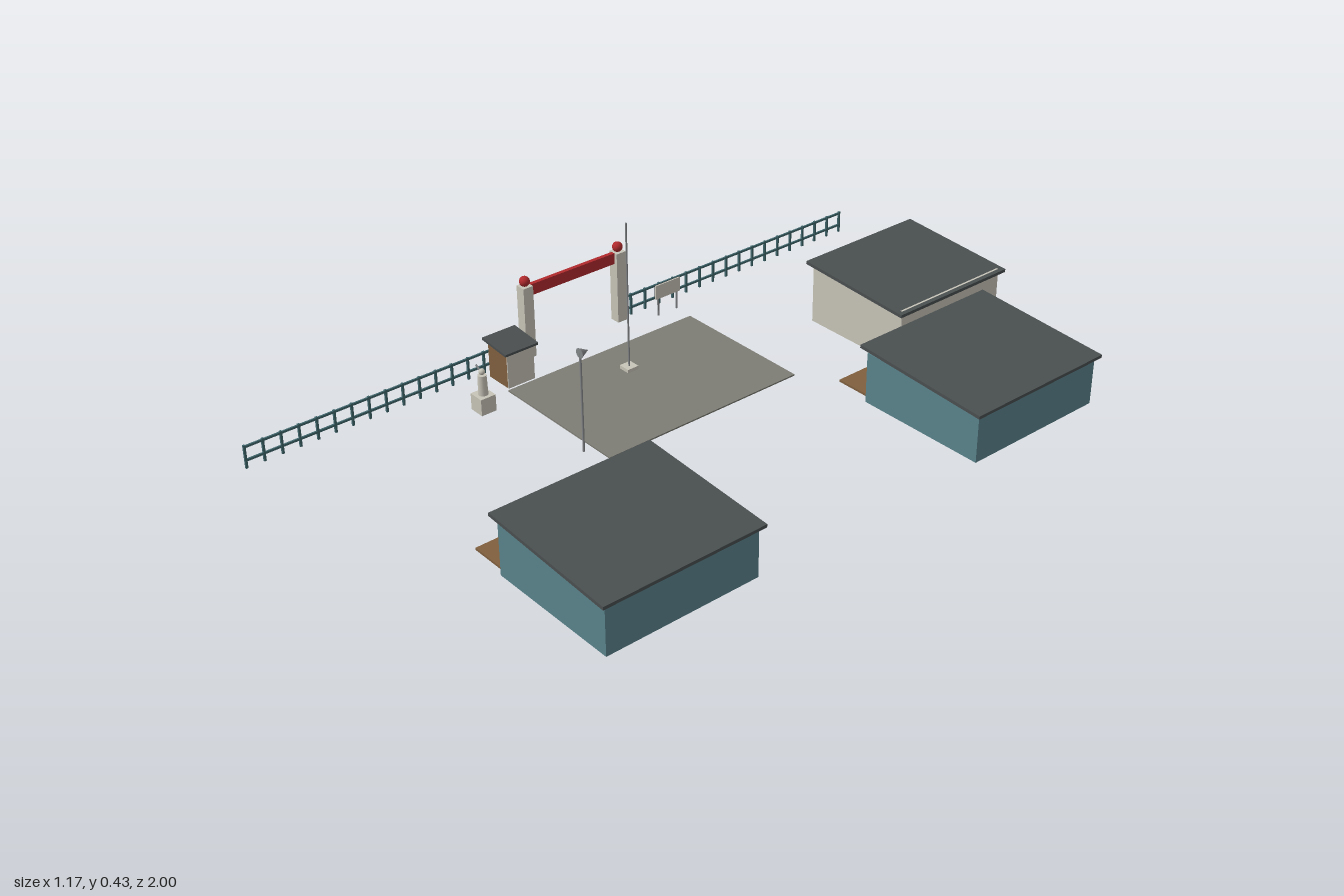
import * as THREE from 'three';

const mat = (name, color) => {
  const m = new THREE.MeshStandardMaterial({ color });
  m.name = name;
  return m;
};

export function createModel() {
  const root = new THREE.Group();
  root.name = 'compound';

  const teal = mat('teal wall', 0x5a828b);
  const roofGrey = mat('roof grey', 0x4a4f50);
  const stone = mat('pale stone', 0xc7c4b8);
  const wood = mat('brown wood', 0x80603f);
  const paving = mat('paving', 0x7d7c74);
  const red = mat('red', 0xb02a2d);
  const fenceTeal = mat('fence teal', 0x3f666c);
  const metal = mat('metal grey', 0x85888a);
  const dark = mat('dark trim', 0x34383a);

  const add = (parent, name, geo, material, x, y, z) => {
    const m = new THREE.Mesh(geo, material);
    m.name = name;
    m.position.set(x, y, z);
    parent.add(m);
    return m;
  };
  // Box given by its extents on each axis
  const box = (parent, name, material, [x0, x1], [y0, y1], [z0, z1]) =>
    add(parent, name, new THREE.BoxGeometry(x1 - x0, y1 - y0, z1 - z0), material,
      (x0 + x1) / 2, (y0 + y1) / 2, (z0 + z1) / 2);
  const group = (name) => {
    const g = new THREE.Group();
    g.name = name;
    root.add(g);
    return g;
  };
  // Slab roof sloping down from top height yL at x0 to yR at x1
  const slopedRoof = (parent, [x0, x1], yL, yR, [z0, z1], t) => {
    const w = x1 - x0, a = Math.atan2(yR - yL, w);
    const r = add(parent, 'roof', new THREE.BoxGeometry(w / Math.cos(a), t, z1 - z0), roofGrey,
      (x0 + x1) / 2, (yL + yR) / 2 - t / 2, (z0 + z1) / 2);
    r.rotation.z = a;
  };

  // Paved square
  box(root, 'plaza', paving, [-0.45, -0.026], [0, 0.004], [-0.31, 0.306]);

  // Two teal cabins with porch decks
  for (const z of [0.57, -0.572]) {
    const cabin = group('cabin');
    box(cabin, 'walls', teal, [0.19, 0.57], [0, 0.143], [z - 0.215, z + 0.215]);
    slopedRoof(cabin, [0.176, 0.582], 0.167, 0.143, [z - 0.228, z + 0.228], 0.009);
    box(cabin, 'deck', wood, [0.094, 0.19], [0.017, 0.023], [z - 0.215, z + 0.215]);
  }

  // Pale hall
  const hall = group('hall');
  box(hall, 'walls', stone, [-0.214, 0.12], [0, 0.165], [-0.925, -0.552]);
  slopedRoof(hall, [-0.228, 0.132], 0.184, 0.164, [-0.94, -0.537], 0.009);

  // Gate with red beam and finials
  const gate = group('gate');
  for (const s of [-1, 1]) {
    const z = s * 0.155;
    box(gate, 'gatePost', stone, [-0.585, -0.554], [0, 0.21], [z - 0.0155, z + 0.0155]);
    add(gate, 'finial', new THREE.SphereGeometry(0.0145, 20, 14), red, -0.57, 0.223, z);
  }
  box(gate, 'beam', red, [-0.576, -0.564], [0.178, 0.21], [-0.14, 0.14]);

  // Fence on both sides of the gate
  const fence = group('fence');
  for (const s of [-1, 1]) {
    for (const y of [0.022, 0.06])
      add(fence, 'rail', new THREE.BoxGeometry(0.005, 0.006, 0.81), fenceTeal, -0.57, y, s * 0.595);
    for (let i = 0; i <= 16; i++)
      add(fence, 'fencePost', new THREE.BoxGeometry(0.006, 0.065, 0.006), fenceTeal,
        -0.57, 0.0325, s * (0.197 + i * 0.05));
  }

  // Guard booth
  const booth = group('guardBooth');
  box(booth, 'walls', wood, [-0.545, -0.464], [0, 0.104], [0.213, 0.297]);
  box(booth, 'sidePanel', stone, [-0.464, -0.461], [0, 0.104], [0.213, 0.297]);
  box(booth, 'window', dark, [-0.548, -0.545], [0.05, 0.085], [0.235, 0.275]);
  slopedRoof(booth, [-0.556, -0.453], 0.116, 0.107, [0.203, 0.307], 0.007);

  // Flagpole
  const flag = group('flagpole');
  box(flag, 'base', stone, [-0.35, -0.315], [0, 0.014], [-0.0175, 0.0175]);
  add(flag, 'pole', new THREE.CylinderGeometry(0.0025, 0.0025, 0.416, 10), metal, -0.332, 0.222, 0);

  // Loudspeaker on a pole, horn facing forward
  const speaker = group('loudspeaker');
  add(speaker, 'pole', new THREE.CylinderGeometry(0.003, 0.003, 0.278, 10), metal, -0.095, 0.139, 0.333);
  const horn = add(speaker, 'horn', new THREE.ConeGeometry(0.0135, 0.026, 16), metal, -0.095, 0.278, 0.322);
  horn.rotation.x = -Math.PI / 2;

  // Statue on a plinth
  const statue = group('statue');
  box(statue, 'plinth', stone, [-0.44, -0.394], [0, 0.047], [0.383, 0.428]);
  add(statue, 'body', new THREE.CylinderGeometry(0.0115, 0.0135, 0.056, 16), stone, -0.417, 0.075, 0.405);
  add(statue, 'head', new THREE.SphereGeometry(0.0085, 16, 12), stone, -0.417, 0.112, 0.405);
  const arm = add(statue, 'arm', new THREE.BoxGeometry(0.027, 0.004, 0.004), metal, -0.43, 0.115, 0.405);
  arm.rotation.z = -0.5;

  // Notice board
  const board = group('noticeBoard');
  box(board, 'panel', stone, [-0.516, -0.512], [0.053, 0.095], [-0.326, -0.24]);
  box(board, 'panelBack', dark, [-0.518, -0.516], [0.053, 0.095], [-0.326, -0.24]);
  for (const z of [-0.316, -0.25])
    box(board, 'leg', metal, [-0.517, -0.513], [0, 0.053], [z - 0.002, z + 0.002]);

  return root;
}
